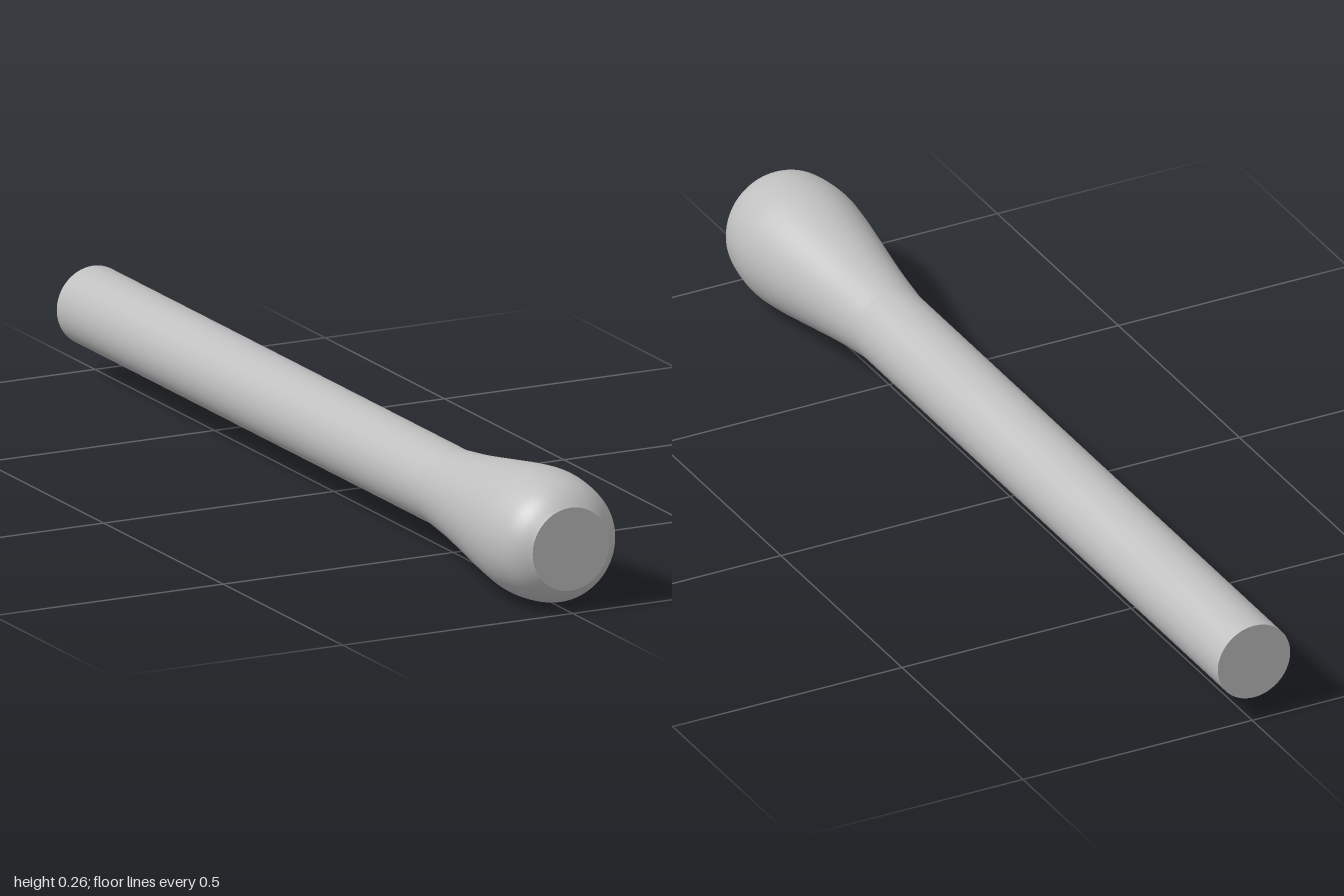
import * as THREE from 'three';

const AXIS_Y = 0.13;
const SHAFT_RADIUS = 0.079;
const TIP_RADIUS = 0.083;
const BULB_RADIUS = 0.129;
const LEAN = 0.004; // sideways offset of the shaft axis from the bulb centre
const SEGMENTS = 72;

export function createModel() {
  const model = new THREE.Group();
  model.name = 'bulbHandledRod';

  const grey = new THREE.MeshStandardMaterial({ color: 0xbfbfbf });
  grey.name = 'plain grey';

  const add = (name, geometry, x, z) => {
    const mesh = new THREE.Mesh(geometry, grey);
    mesh.name = name;
    mesh.position.set(x, AXIS_Y, z);
    model.add(mesh);
  };

  // Straight round shaft, open where it meets the bulb
  const shaft = new THREE.CylinderGeometry(SHAFT_RADIUS, SHAFT_RADIUS, 1.5, SEGMENTS, 1, true);
  add('shaft', shaft.rotateX(Math.PI / 2), -LEAN, -0.25);

  // Swelling bulb: radius against distance along z
  const profile = new THREE.SplineCurve([
    [SHAFT_RADIUS, 0.5], [0.091, 0.6], [0.107, 0.7], [0.123, 0.8],
    [BULB_RADIUS, 0.87], [0.121, 0.94], [0.106, 0.975], [TIP_RADIUS, 1],
  ].map(([r, z]) => new THREE.Vector2(r, z)));
  const bulb = new THREE.LatheGeometry(profile.getPoints(48), SEGMENTS).rotateX(Math.PI / 2);

  // Ease each ring from the shaft axis to the bulb centre
  const pos = bulb.attributes.position;
  for (let i = 0; i < pos.count; i++) {
    const r = Math.hypot(pos.getX(i), pos.getY(i));
    const shift = LEAN * (BULB_RADIUS - r) / (BULB_RADIUS - SHAFT_RADIUS);
    pos.setX(i, pos.getX(i) - shift);
  }
  add('bulb', bulb, 0, 0);

  // Flat discs closing both ends
  const tipShift = LEAN * (BULB_RADIUS - TIP_RADIUS) / (BULB_RADIUS - SHAFT_RADIUS);
  add('frontFace', new THREE.CircleGeometry(TIP_RADIUS, SEGMENTS), -tipShift, 1);
  add('backFace', new THREE.CircleGeometry(SHAFT_RADIUS, SEGMENTS).rotateY(Math.PI), -LEAN, -1);

  return model;
}
